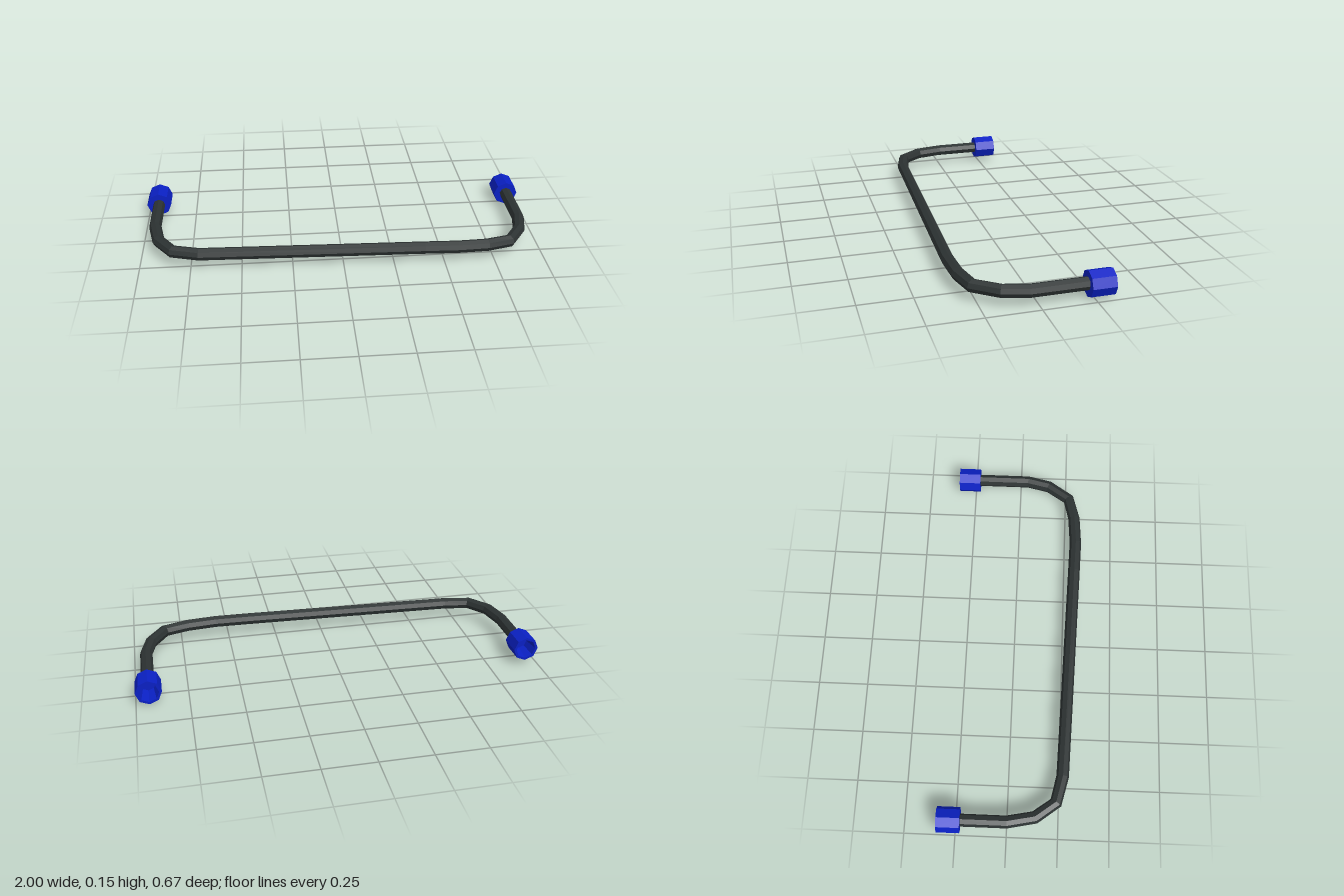
import * as THREE from 'three';

// Curve whose tube rings fall exactly on the given points
class BendPath extends THREE.Curve {
  constructor(points) {
    super();
    this.points = points;
  }
  getPoint(t, target = new THREE.Vector3()) {
    return target.copy(this.points[Math.round(t * (this.points.length - 1))]);
  }
  getPointAt(t, target) {
    return this.getPoint(t, target);
  }
  // Mitre direction: average of the two neighbouring segments
  getTangentAt(t, target = new THREE.Vector3()) {
    const p = this.points, i = Math.round(t * (p.length - 1));
    target.set(0, 0, 0);
    if (i > 0) target.add(p[i].clone().sub(p[i - 1]).normalize());
    if (i < p.length - 1) target.add(p[i + 1].clone().sub(p[i]).normalize());
    return target.normalize();
  }
}

function flat(geometry) {
  const g = geometry.toNonIndexed();
  g.computeVertexNormals();
  return g;
}

export function createModel() {
  const model = new THREE.Group();
  model.name = 'bentHose';

  const rubber = new THREE.MeshStandardMaterial({ color: 0x2c3232 });
  rubber.name = 'dark grey rubber';
  const blue = new THREE.MeshStandardMaterial({ color: 0x0a20c4 });
  blue.name = 'blue fitting';

  // Eight-sided hose, from the right end round to the left end
  const path = [
    [-0.9375, 0.083, -0.24], [-0.9375, 0.083, 0], [-0.91, 0.083, 0.135],
    [-0.835, 0.081, 0.235], [-0.705, 0.077, 0.265],
    [0.4, 0.077, 0.301], [0.565, 0.076, 0.306], [0.715, 0.073, 0.296], [0.835, 0.07, 0.264],
    [0.91, 0.067, 0.155], [0.9375, 0.065, 0.04], [0.9375, 0.065, -0.24],
  ].map((p) => new THREE.Vector3(...p));
  const hose = new THREE.Mesh(
    flat(new THREE.TubeGeometry(new BendPath(path), path.length - 1, 0.031, 8, false)), rubber);
  hose.name = 'hose';
  model.add(hose);

  // Octagonal fittings with a recess open to the back
  const profile = [
    [0, -0.255], [0.036, -0.255], [0.05, -0.338],
    [0.0625, -0.338], [0.0625, -0.225], [0, -0.225],
  ].map((p) => new THREE.Vector2(...p));
  const fittingGeometry = flat(new THREE.LatheGeometry(profile, 8).rotateX(Math.PI / 2));
  for (const [name, x, y] of [['rightFitting', -0.9375, 0.083], ['leftFitting', 0.9375, 0.0625]]) {
    const fitting = new THREE.Mesh(fittingGeometry, blue);
    fitting.name = name;
    fitting.position.set(x, y, 0);
    model.add(fitting);
  }

  return model;
}
